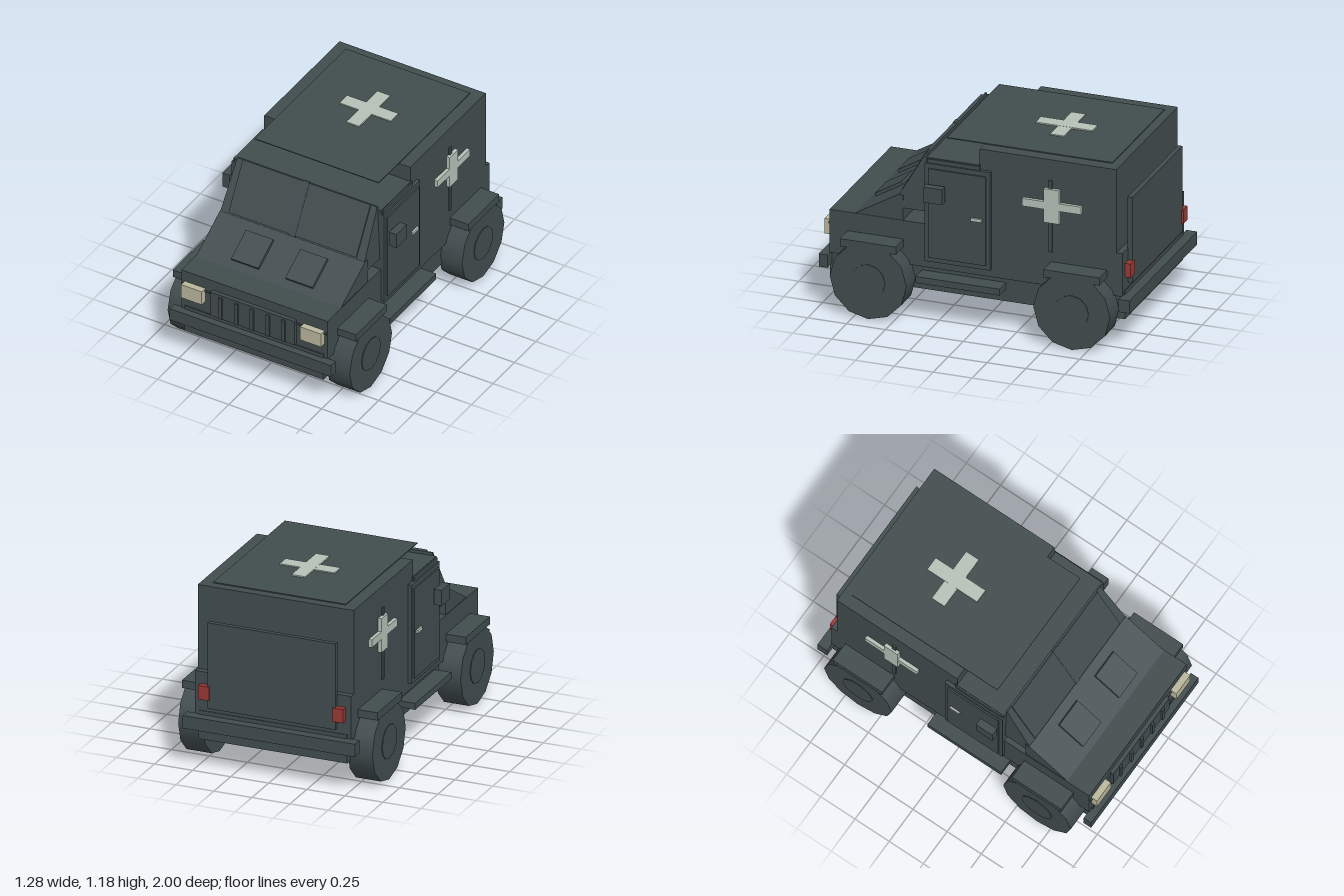
import * as THREE from 'three';

const mat = (name, color) => {
  const m = new THREE.MeshStandardMaterial({ color });
  m.name = name;
  return m;
};

export function createModel() {
  const model = new THREE.Group();
  model.name = 'fieldAmbulance';
  const paint = mat('darkGreyGreen', 0x414c4e);
  const pale = mat('paleGreyGreen', 0xb5c1b7);
  const lamp = mat('lampCream', 0xbab79d);
  const red = mat('tailRed', 0x983833);

  const add = (name, geo, material = paint) => {
    const mesh = new THREE.Mesh(geo, material);
    mesh.name = name;
    model.add(mesh);
    return mesh;
  };
  // Box given by its limits on each axis
  const box = (name, x0, x1, y0, y1, z0, z1, material) =>
    add(name, new THREE.BoxGeometry(x1 - x0, y1 - y0, z1 - z0)
      .translate((x0 + x1) / 2, (y0 + y1) / 2, (z0 + z1) / 2), material);
  // The same box on both sides
  const pair = (name, x0, x1, ...rest) => {
    box(name + 'Left', x0, x1, ...rest);
    box(name + 'Right', -x1, -x0, ...rest);
  };
  // Side profile of [z, y] points, extruded across the width
  const prism = (name, halfWidth, points) => {
    const shape = new THREE.Shape(points.map(([z, y]) => new THREE.Vector2(z, y)));
    return add(name, new THREE.ExtrudeGeometry(shape, { depth: 2 * halfWidth, bevelEnabled: false })
      .rotateY(-Math.PI / 2).translate(halfWidth, 0, 0));
  };
  // Plate lying on a slope that runs from a to b, both [z, y]
  const slopePlate = (name, x0, x1, a, b, thick) => {
    const dz = b[0] - a[0], dy = b[1] - a[1];
    const plate = add(name, new THREE.BoxGeometry(x1 - x0, thick, Math.hypot(dz, dy)));
    plate.position.set((x0 + x1) / 2, (a[1] + b[1]) / 2, (a[0] + b[0]) / 2);
    plate.rotation.x = Math.atan2(dy, -dz);
  };

  // Chassis and main body
  box('chassis', -0.487, 0.487, 0.185, 0.37, -0.94, 0.957);
  box('lowerBody', -0.512, 0.512, 0.34, 0.622, -0.935, 0.95);
  box('cab', -0.515, 0.515, 0.6, 1.06, -0.03, 0.33);
  box('cabUpperFrame', -0.525, 0.525, 0.95, 1.055, -0.02, 0.32);
  box('rearBox', -0.512, 0.512, 0.6, 1.165, -0.895, -0.015);
  box('roofSheet', -0.435, 0.435, 1.167, 1.173, -0.84, 0.225);

  // Sloping hood and windscreen, with an open gap beneath the screen
  prism('hood', 0.508, [[0.79, 0.62], [0.51, 0.785], [0.48, 0.785], [0.48, 0.62]]);
  const screen = prism('windscreen', 0.505,
    [[0.48, 0.7], [0.508, 0.785], [0.335, 1.08], [0.325, 1.08], [0.325, 0.7]]);
  const p = screen.geometry.attributes.position;
  for (let i = 0; i < p.count; i++) if (p.getY(i) > 1) p.setX(i, p.getX(i) * 0.97);
  screen.geometry.computeVertexNormals();
  slopePlate('windscreenPaneLeft', 0.012, 0.447, [0.505, 0.795], [0.338, 1.083], 0.012);
  slopePlate('windscreenPaneRight', -0.447, -0.012, [0.505, 0.795], [0.338, 1.083], 0.012);
  slopePlate('windscreenDivider', -0.02, 0.02, [0.51, 0.788], [0.336, 1.09], 0.014);
  for (const s of [-1, 1]) {
    slopePlate('hoodVent', s * 0.19 - 0.095, s * 0.19 + 0.095, [0.745, 0.657], [0.57, 0.762], 0.02);
  }

  // Doors, handles and mirrors
  pair('door', 0.5, 0.535, 0.39, 1.03, -0.09, 0.33);
  pair('doorPanel', 0.53, 0.545, 0.42, 1.0, -0.065, 0.305);
  pair('doorHandle', 0.543, 0.557, 0.704, 0.724, -0.042, 0.028, pale);
  pair('mirrorArm', 0.54, 0.565, 0.828, 0.85, 0.24, 0.26);
  pair('mirror', 0.56, 0.61, 0.805, 0.905, 0.19, 0.31);

  // Crosses on the sides and roof
  pair('sideStrip', 0.505, 0.522, 0.565, 1.03, -0.485, -0.46);
  pair('sideCrossUpright', 0.51, 0.535, 0.76, 0.98, -0.535, -0.435, pale);
  pair('sideCrossBar', 0.51, 0.534, 0.845, 0.895, -0.675, -0.295, pale);
  box('roofCrossLong', -0.045, 0.045, 1.174, 1.182, -0.56, -0.195, pale);
  box('roofCrossWide', -0.18, 0.18, 1.174, 1.181, -0.43, -0.34, pale);

  // Bumpers and steps
  box('frontBumper', -0.565, 0.565, 0.262, 0.345, 0.945, 1);
  box('rearBumper', -0.565, 0.565, 0.262, 0.345, -1, -0.93);
  pair('step', 0.48, 0.597, 0.265, 0.307, -0.175, 0.365);

  // Grille and lamps
  box('grille', -0.295, 0.295, 0.38, 0.555, 0.945, 0.975);
  for (let i = -2; i <= 2; i++) {
    box('grilleBar', i * 0.11 - 0.012, i * 0.11 + 0.012, 0.387, 0.54, 0.97, 0.987);
  }
  box('frontTrim', -0.508, 0.508, 0.525, 0.535, 0.945, 0.96);
  pair('headlight', 0.345, 0.49, 0.45, 0.547, 0.945, 0.992, lamp);
  box('rearDoor', -0.42, 0.42, 0.4, 0.957, -0.962, -0.932);
  pair('tailLight', 0.405, 0.475, 0.455, 0.545, -0.972, -0.93, red);

  // Wheels and mudguards
  for (const z of [0.655, -0.655]) {
    pair('mudguard', 0.49, 0.642, 0.45, 0.5, z - 0.18, z + 0.18);
    for (const s of [-1, 1]) {
      const tyre = new THREE.CylinderGeometry(0.247, 0.247, 0.163, 12).rotateZ(Math.PI / 2);
      add('wheel', tyre).position.set(s * 0.556, 0.247, z);
      const hub = new THREE.CylinderGeometry(0.11, 0.11, 0.02, 12).rotateZ(Math.PI / 2);
      add('hub', hub).position.set(s * 0.632, 0.247, z);
    }
  }
  return model;
}
